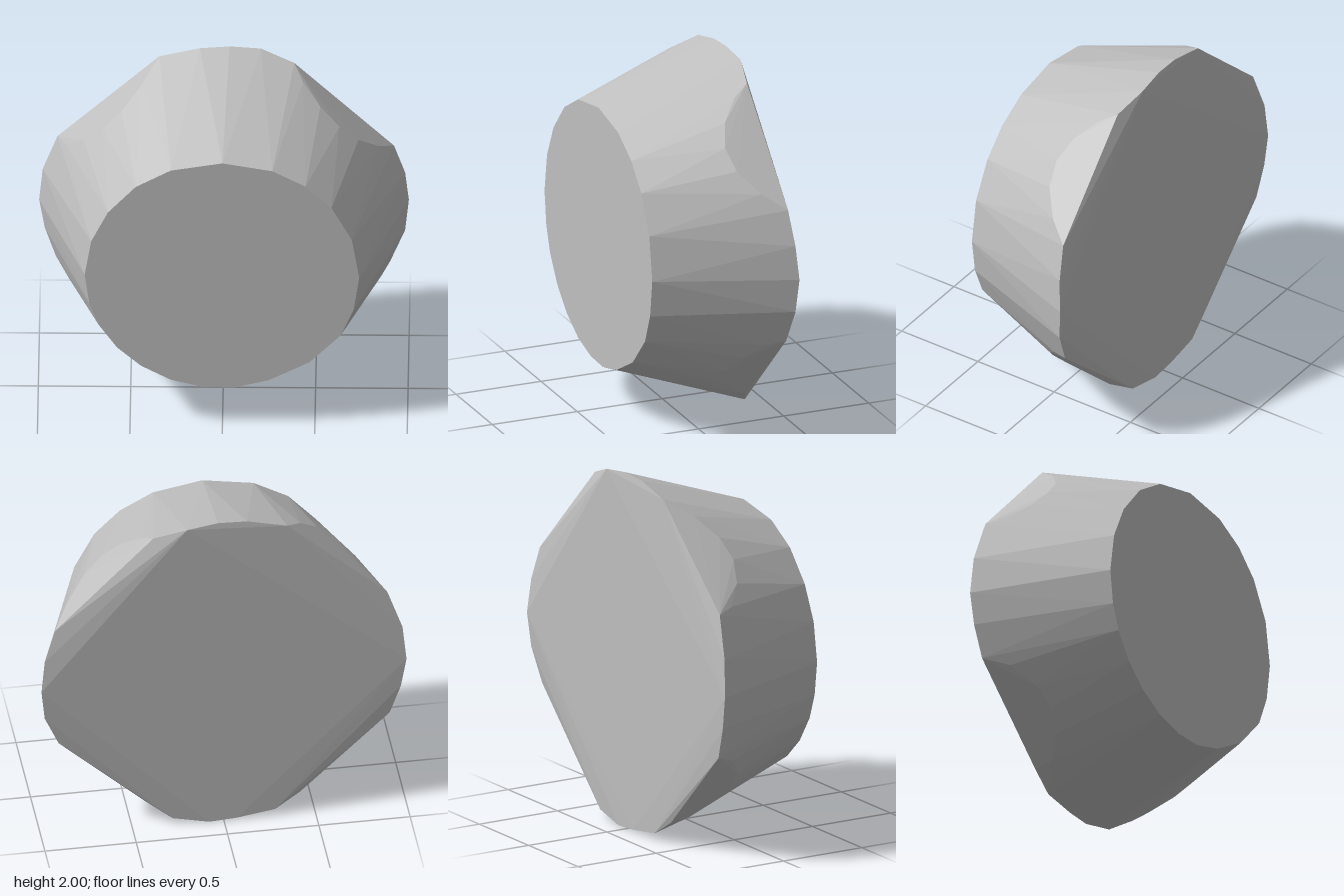
import * as THREE from 'three';
import { ConvexGeometry } from 'three/addons/geometries/ConvexGeometry.js';

// Flat front outline (x, y)
const FRONT_Z = 0.375;
const front = [
  [0, 1.74], [0.27, 1.69], [0.45, 1.59], [0.59, 1.45], [0.7, 1.24], [0.74, 0.99],
  [0.71, 0.78], [0.64, 0.61], [0.47, 0.43], [0.25, 0.31], [0.06, 0.26], [-0.11, 0.265],
  [-0.28, 0.31], [-0.44, 0.4], [-0.57, 0.52], [-0.67, 0.67], [-0.72, 0.81], [-0.745, 1],
  [-0.71, 1.22], [-0.62, 1.41], [-0.47, 1.58], [-0.28, 1.69],
];

// Wide back rim (x, y, z), with its corners cut and slightly set forward
const rim = [
  [-0.35, 1.93, -0.36], [-0.13, 1.985, -0.36], [0.03, 1.995, -0.365], [0.2, 1.975, -0.375],
  [0.38, 1.91, -0.335], [0.92, 1.36, -0.347], [0.98, 1.17, -0.365], [1, 0.98, -0.38],
  [0.98, 0.79, -0.365], [0.9, 0.6, -0.345], [0.42, 0.13, -0.31], [0.28, 0.04, -0.365],
  [0.08, 0, -0.375], [-0.07, 0.01, -0.375], [-0.28, 0.04, -0.37], [-0.42, 0.13, -0.355],
  [-0.91, 0.61, -0.36], [-0.97, 0.79, -0.37], [-1, 0.97, -0.375], [-0.98, 1.18, -0.365],
  [-0.9, 1.41, -0.345],
];

// Points where each diagonal cut runs out into the tapered wall
function cutPoints(corner) {
  const reach = 0.905;
  return [-0.3, -0.14, 0.02, 0.18, 0.32].map((a) => {
    const r = reach / Math.cos(a);
    const z = FRONT_Z - ((r - 0.74) / 0.26) * 0.75;
    return [r * Math.cos(corner + a), 1 + r * Math.sin(corner + a), z];
  });
}

export function createModel() {
  const group = new THREE.Group();
  group.name = 'taperedBlock';
  const grey = new THREE.MeshStandardMaterial({ color: 0xbfbfbf });
  grey.name = 'grey';

  const points = [...front.map(([x, y]) => [x, y, FRONT_Z]), ...rim];
  for (let i = 0; i < 4; i++) points.push(...cutPoints(Math.PI / 4 + (i * Math.PI) / 2));

  // Faceted convex body
  const body = new THREE.Mesh(
    new ConvexGeometry(points.map((p) => new THREE.Vector3(...p))), grey);
  body.name = 'body';
  group.add(body);
  return group;
}
